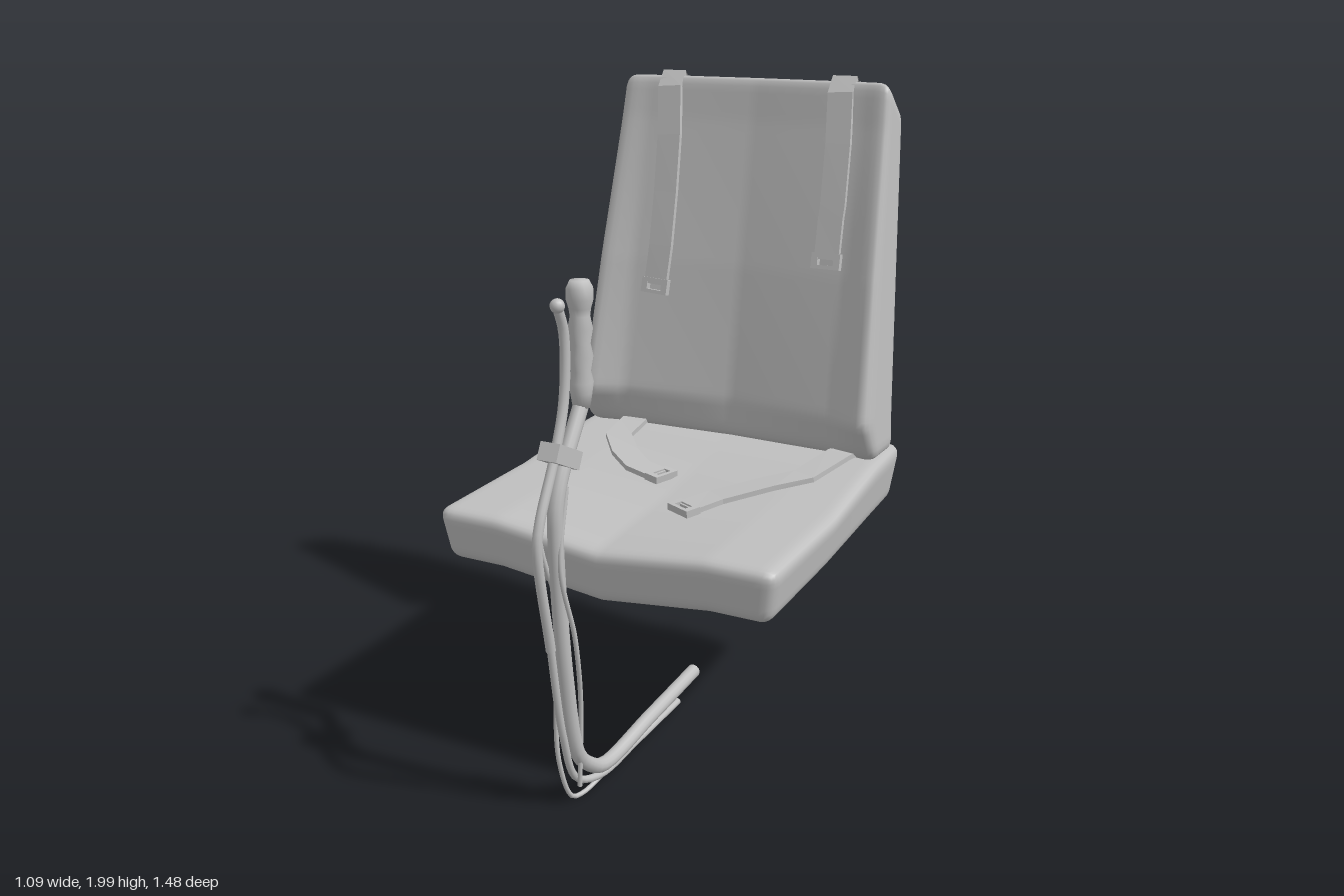
import * as THREE from 'three';
import { mergeVertices } from 'three/addons/utils/BufferGeometryUtils.js';

const V = (x, y, z) => new THREE.Vector3(x, y, z);
const lerp = THREE.MathUtils.lerp;

// Piecewise linear lookup; knots are [input, output] with rising input
function ramp(knots, a) {
  if (a <= knots[0][0]) return knots[0][1];
  for (let i = 1; i < knots.length; i++) {
    const [a0, b0] = knots[i - 1], [a1, b1] = knots[i];
    if (a <= a1) return lerp(b0, b1, (a - a0) / (a1 - a0));
  }
  return knots[knots.length - 1][1];
}

// Seat surfaces: shallow V, deepest at the front
const seatDip = (x, z) => 0.04 * (1 - Math.min(Math.abs(x) / 0.34, 1)) * ramp([[-0.3, 0.1], [0.43, 1]], z);
const seatTop = (x, z) => ramp([[-0.6, 0.855], [-0.38, 0.845], [-0.02, 0.80], [0.43, 0.787]], z) - seatDip(x, z);
const seatBottom = (x, z) => ramp([[-0.6, 0.67], [0.43, 0.62]], z) - seatDip(x, z);

// Backrest surfaces: hollow front with side wings, rear ridge along the middle
const backFront = (x, y) =>
  ramp([[0.84, -0.40], [0.97, -0.33], [1.4, -0.42], [1.85, -0.53], [2, -0.56]], y)
  - ramp([[0, 1], [0.37, 0.55], [0.48, 0]], Math.abs(x)) * ramp([[0.85, 0.04], [0.97, 0.1], [2, 0.03]], y);
const backRear = (x, y) =>
  ramp([[0.84, -0.57], [0.95, -0.585], [1.85, -0.7], [2, -0.72]], y)
  - 0.036 * Math.max(0, 1 - Math.abs(x) / 0.44) * ramp([[0.85, 0.35], [1.9, 1]], y);

// Rounded block whose vertices are then moved by warp(s, t, u), each in -1..1
function cushion(size, segs, r, warp) {
  const g = new THREE.BoxGeometry(...size, ...segs);
  const half = V(...size).multiplyScalar(0.5);
  const inner = half.clone().subScalar(r), low = inner.clone().negate();
  const pos = g.attributes.position, p = V(), c = V();
  for (let i = 0; i < pos.count; i++) {
    p.fromBufferAttribute(pos, i);
    c.copy(p).clamp(low, inner);
    p.sub(c).setLength(r).add(c).divide(half);
    pos.setXYZ(i, ...warp(p.x, p.y, p.z));
  }
  g.deleteAttribute('uv');
  g.deleteAttribute('normal');
  const m = mergeVertices(g);
  m.computeVertexNormals();
  return m;
}

// Axes of a flat band at point i: across, along and outward
function bandFrame(pts, i, up) {
  const along = pts[Math.min(i + 1, pts.length - 1)].clone().sub(pts[Math.max(i - 1, 0)]).normalize();
  const across = along.clone().cross(up).normalize();
  return [across, along, across.clone().cross(along).normalize()];
}

// Flat webbing band through the points
function band(pts, up, width, thick) {
  const pos = [], index = [], n = pts.length;
  pts.forEach((p, i) => {
    const [across, , out] = bandFrame(pts, i, up);
    for (const [a, b] of [[-1, -1], [1, -1], [1, 1], [-1, 1]]) {
      const q = p.clone().addScaledVector(across, a * width / 2).addScaledVector(out, b * thick / 2);
      pos.push(q.x, q.y, q.z);
    }
    if (i < n - 1) for (let k = 0; k < 4; k++) {
      const a = i * 4 + k, b = i * 4 + (k + 1) % 4;
      index.push(a, b + 4, b, a, a + 4, b + 4);
    }
  });
  const e = (n - 1) * 4;
  index.push(0, 1, 2, 0, 2, 3, e, e + 2, e + 1, e, e + 3, e + 2);
  let g = new THREE.BufferGeometry();
  g.setAttribute('position', new THREE.Float32BufferAttribute(pos, 3));
  g.setIndex(index);
  g = g.toNonIndexed();
  g.computeVertexNormals();
  return g;
}

export function createModel() {
  const model = new THREE.Group();
  const grey = new THREE.MeshStandardMaterial({ color: 0xbfbfbf, side: THREE.DoubleSide });
  grey.name = 'plain grey';

  const add = (name, geometry, parent = model) => {
    const m = new THREE.Mesh(geometry, grey);
    m.name = name;
    parent.add(m);
    return m;
  };

  // Cushions
  add('seatCushion', cushion([1.1, 0.19, 1.04], [56, 10, 52], 0.04, (s, t, u) => {
    const x = s * lerp(0.525, 0.55, (t + 1) / 2) * ramp([[-1, 0.97], [0.2, 1]], u);
    const k = (t + 1) / 2;
    const z = lerp(lerp(-0.585, -0.615, k), lerp(0.41, 0.435, k), (u + 1) / 2);
    return [x, lerp(seatBottom(x, z), seatTop(x, z), k), z];
  }));
  add('backrestCushion', cushion([0.97, 1.15, 0.2], [50, 56, 10], 0.04, (s, t, u) => {
    const k = (t + 1) / 2, d = (u + 1) / 2;
    const x = s * lerp(0.52, 0.455, k);
    const y = lerp(0.842, lerp(1.88, 2, d), k);
    return [x, y, lerp(backRear(x, y), backFront(x, y), d)];
  }));

  // Webbing straps with a slotted buckle at the free end
  const frame = new THREE.Shape([[-0.047, -0.02], [0.047, -0.02], [0.047, 0.03], [-0.047, 0.03]].map(p => new THREE.Vector2(...p)));
  frame.holes.push(new THREE.Path([[-0.026, -0.006], [-0.026, 0.018], [0.026, 0.018], [0.026, -0.006]].map(p => new THREE.Vector2(...p))));
  const buckleGeo = new THREE.ExtrudeGeometry(frame, { depth: 0.022, bevelEnabled: false });

  function strap(name, pts, up, width) {
    const group = new THREE.Group();
    group.name = name;
    model.add(group);
    add('webbing', band(pts, up, width, 0.016), group);
    const buckle = add('buckle', buckleGeo, group);
    const last = pts.length - 1, [across, along, out] = bandFrame(pts, last, up);
    buckle.quaternion.setFromRotationMatrix(new THREE.Matrix4().makeBasis(across, along, out));
    buckle.position.copy(pts[last]).addScaledVector(out, -0.009);
  }

  const shoulder = (name, xs, end) => {
    const heights = [1.95, 1.8, 1.62, end + 0.15, end + 0.025];
    strap(name, [
      V(xs[0], 1.972, -0.635), V(xs[0], 1.992, -0.60),
      ...heights.map((y, i) => V(xs[i], y, backFront(xs[i], y) + (i ? 0.012 : 0.004))),
    ], V(0, 0.5, 1), 0.08);
  };
  shoulder('rightShoulderStrap', [-0.29, -0.275, -0.27, -0.27, -0.277], 1.3);
  shoulder('leftShoulderStrap', [0.297, 0.308, 0.312, 0.31, 0.31], 1.43);

  const lap = (name, xz) =>
    strap(name, xz.map(([x, z]) => V(x, seatTop(x, z) + 0.012, z)), V(0, 1, 0), 0.085);
  lap('rightLapStrap', [[-0.36, -0.5], [-0.34, -0.39], [-0.33, -0.28], [-0.25, -0.18], [-0.165, -0.11], [-0.07, -0.083]]);
  lap('leftLapStrap', [[0.43, -0.5], [0.40, -0.39], [0.36, -0.21], [0.28, -0.13], [0.165, 0], [0.115, 0.105]]);

  // Rivets behind the backrest
  const rivetGeo = new THREE.CylinderGeometry(0.016, 0.016, 0.01, 12).rotateX(Math.PI / 2);
  for (const [y, z, xs] of [[1.81, -0.735, [-0.31, 0.27]], [1.4, -0.675, [-0.46, 0.42]], [0.87, -0.64, [-0.46, 0.42]]])
    for (const x of xs) add('rivet', rivetGeo).position.set(x, y, z);

  // Control stick: bent tubes with capped ends
  const stick = new THREE.Group();
  stick.name = 'controlStick';
  model.add(stick);
  function tube(name, pts, r) {
    const curve = new THREE.CatmullRomCurve3(pts.map(p => V(...p)));
    add(name, new THREE.TubeGeometry(curve, pts.length * 7, r, 12), stick);
    for (const [t, sign] of [[0, -1], [1, 1]]) {
      const cap = add(name + 'End', new THREE.CircleGeometry(r, 12), stick);
      cap.position.copy(curve.getPoint(t));
      cap.lookAt(cap.position.clone().addScaledVector(curve.getTangent(t), sign));
    }
  }
  tube('stickTube', [[0, 0.108, -0.185], [0, 0.085, 0.11], [0, 0.065, 0.40], [0, 0.105, 0.48], [0, 0.175, 0.545],
    [0, 0.44, 0.60], [0, 0.865, 0.635], [0, 0.95, 0.63], [0, 1.03, 0.60], [0, 1.2, 0.49]], 0.022);
  tube('brakeLever', [[0, 1.485, 0.60], [0, 1.41, 0.572], [0, 1.235, 0.578], [0, 1.1, 0.625],
    [0, 0.93, 0.71], [0, 0.86, 0.725], [0, 0.55, 0.672]], 0.014);
  tube('brakeRod', [[0, 0.6, 0.68], [-0.005, 0.255, 0.612], [-0.01, 0.09, 0.54], [0, 0.04, 0.42],
    [0, 0.042, 0.2], [0, 0.05, -0.07]], 0.011);
  tube('rightCable', [[-0.02, 1.06, 0.62], [-0.035, 0.88, 0.66], [-0.01, 0.62, 0.61], [-0.035, 0.33, 0.60],
    [-0.035, 0.16, 0.59], [-0.025, 0.025, 0.54], [-0.015, 0.015, 0.49], [0, 0.035, 0.40]], 0.007);
  tube('leftCable', [[0.015, 1.0, 0.60], [0.02, 0.78, 0.645], [0.03, 0.58, 0.60], [0.03, 0.5, 0.585],
    [0.015, 0.335, 0.548], [0.005, 0.07, 0.545]], 0.007);

  // Hand grip with finger waves and a rounded cap
  const grip = [[0, 1.19], [0.024, 1.19], [0.03, 1.23], [0.034, 1.26], [0.027, 1.29], [0.034, 1.33], [0.027, 1.365],
    [0.034, 1.405], [0.027, 1.44], [0.03, 1.46], [0.037, 1.485], [0.036, 1.515], [0.026, 1.535], [0, 1.537]];
  add('handGrip', new THREE.LatheGeometry(grip.map(p => new THREE.Vector2(...p)), 20), stick).position.z = 0.49;
  add('leverKnob', new THREE.SphereGeometry(0.02, 14, 10), stick).position.set(0, 1.487, 0.60);

  // Clamp joining lever and tube
  const clamp = add('leverClamp', new THREE.BoxGeometry(0.06, 0.05, 0.125), stick);
  clamp.position.set(0, 1.085, 0.603);
  clamp.rotation.x = -0.45;

  return model;
}
